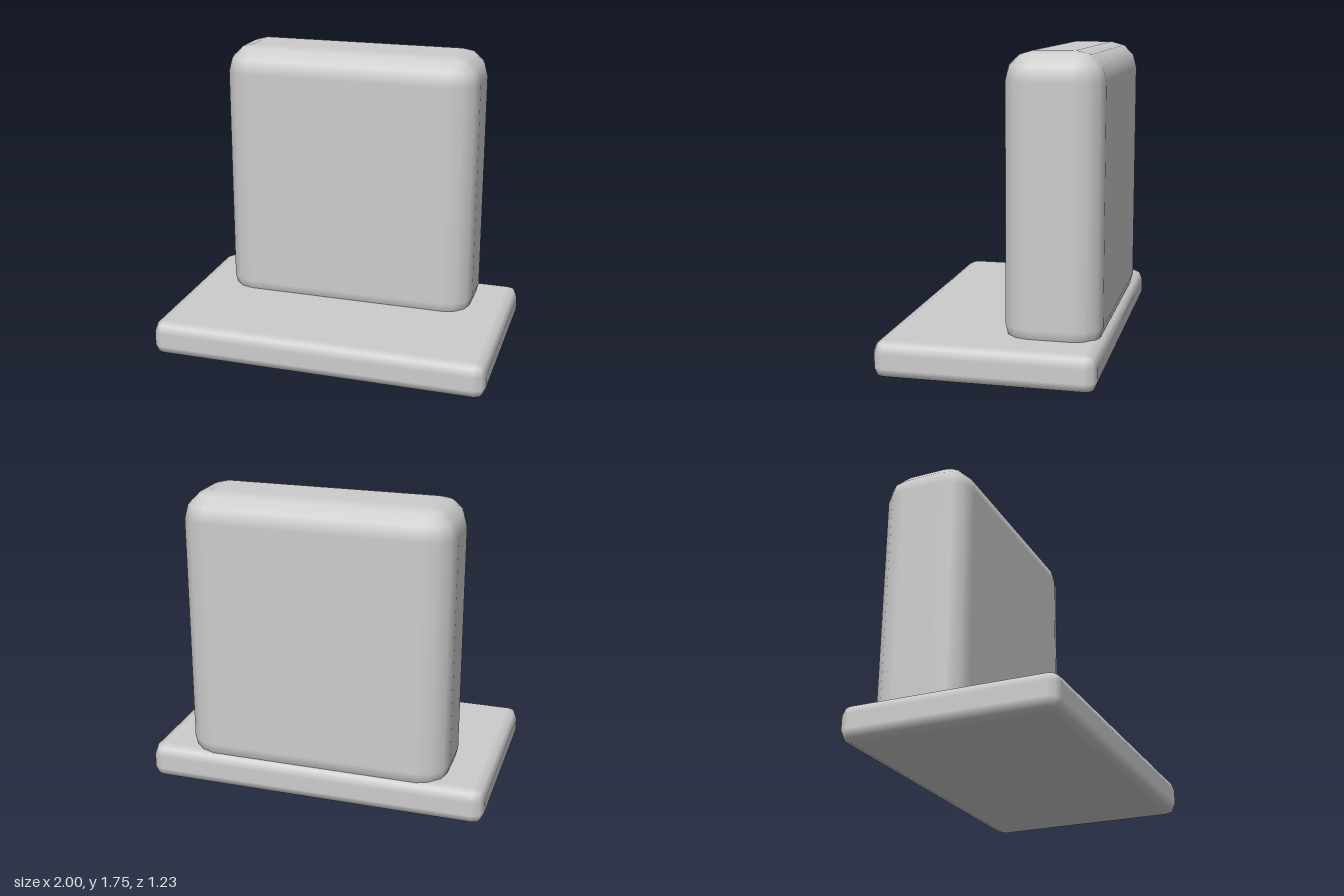
import * as THREE from 'three';

// Box with smooth rounded edges: stacked rounded-rectangle rings plus flat caps.
function bevelledBox(w, h, d, r, seg) {
  const pos = [], nor = [], idx = [];
  const around = 4 * (seg + 1), rows = 2 * (seg + 1);
  for (let j = 0; j < rows; j++) {
    const upper = j > seg;
    const lat = ((upper ? j - 1 : j) / seg - 1) * Math.PI / 2;
    for (let i = 0; i < around; i++) {
      const q = Math.floor(i / (seg + 1));
      const lon = (q + (i % (seg + 1)) / seg) * Math.PI / 2;
      const n = [Math.cos(lat) * Math.cos(lon), Math.sin(lat), Math.cos(lat) * Math.sin(lon)];
      const sx = q === 0 || q === 3 ? 1 : -1, sz = q < 2 ? 1 : -1;
      pos.push(sx * (w / 2 - r) + n[0] * r,
        (upper ? 1 : -1) * (h / 2 - r) + n[1] * r,
        sz * (d / 2 - r) + n[2] * r);
      nor.push(...n);
    }
  }
  for (let j = 0; j < rows - 1; j++) {
    for (let i = 0; i < around; i++) {
      const a = j * around + i, b = j * around + (i + 1) % around;
      idx.push(a, a + around, b, b, a + around, b + around);
    }
  }
  // Flat caps between the four corners
  const s = seg + 1, t = (rows - 1) * around;
  idx.push(0, s, 2 * s, 0, 2 * s, 3 * s);
  idx.push(t, t + 2 * s, t + s, t, t + 3 * s, t + 2 * s);
  const g = new THREE.BufferGeometry();
  g.setAttribute('position', new THREE.Float32BufferAttribute(pos, 3));
  g.setAttribute('normal', new THREE.Float32BufferAttribute(nor, 3));
  g.setIndex(idx);
  return g;
}

export function createModel() {
  const group = new THREE.Group();
  group.name = 'uprightSlabOnPlinth';
  const stone = new THREE.MeshStandardMaterial({ color: 0xcccccc });
  stone.name = 'lightGrey';

  // Low plinth
  const base = new THREE.Mesh(bevelledBox(2, 0.21, 1.225, 0.065, 2), stone);
  base.name = 'base';
  base.position.y = 0.105;

  // Upright slab, its rounded foot sunk into the plinth
  const slab = new THREE.Mesh(bevelledBox(1.545, 1.65, 0.547, 0.16, 3), stone);
  slab.name = 'slab';
  slab.position.set(0, 0.928, -0.315);

  group.add(base, slab);
  return group;
}
